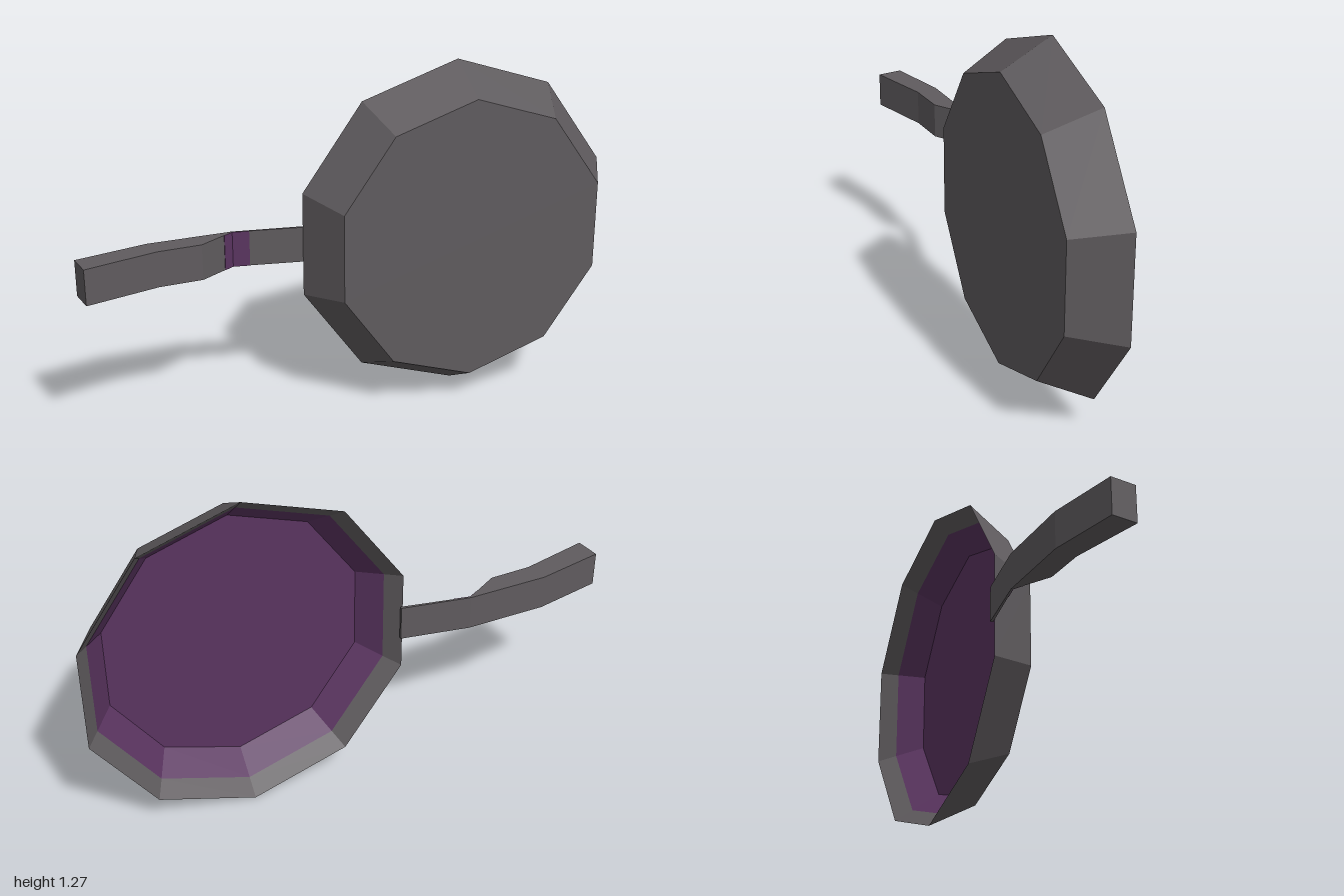
import * as THREE from 'three';

const grey = new THREE.MeshStandardMaterial({ color: 0x5f5b5e });
grey.name = 'dark iron';
const purple = new THREE.MeshStandardMaterial({ color: 0x5a3460 });
purple.name = 'purple coating';

// Faceted mesh: split every face so it gets its own flat normal
function facet(name, geometry, material) {
  const g = geometry.index ? geometry.toNonIndexed() : geometry;
  g.computeVertexNormals();
  const mesh = new THREE.Mesh(g, material);
  mesh.name = name;
  return mesh;
}

// Ten-sided turned part around the z axis, from [radius, z] pairs
function turned(name, profile, material) {
  const g = new THREE.LatheGeometry(profile.map(([r, z]) => new THREE.Vector2(r, z)), 10);
  g.rotateX(Math.PI / 2).scale(0.977, 1, 1);
  return facet(name, g, material);
}

// Outline in [x, z], extruded upwards from y0 to y1
function slab(name, outline, y0, y1, material) {
  const shape = new THREE.Shape(outline.map(([x, z]) => new THREE.Vector2(x, -z)));
  const g = new THREE.ExtrudeGeometry(shape, { depth: y1 - y0, bevelEnabled: false });
  g.rotateX(-Math.PI / 2).translate(0, y0, 0);
  return facet(name, g, material);
}

export function createModel() {
  const model = new THREE.Group();
  model.name = 'fryingPan';

  // Dish: sharp rim, grey outside and upper inner wall, thick floor coated inside
  const dish = new THREE.Group();
  dish.name = 'dish';
  dish.position.set(0.41, 0.635, 0);
  dish.add(
    turned('outerShell', [[0.583, -0.006], [0.635, -0.066], [0.534, 0.117], [0, 0.117]], grey),
    turned('innerCoating', [[0, 0.085], [0.505, 0.085], [0.583, -0.006]], purple),
  );
  model.add(dish);

  // Handle: thin neck widening into a bent grip
  model.add(slab('handle', [
    [-1, -0.047], [-0.985, 0.048], [-0.72, -0.023], [-0.56, -0.032], [-0.43, -0.111],
    [-0.17, -0.067], [-0.17, -0.078], [-0.43, -0.117], [-0.74, -0.107],
  ], 0.569, 0.702, grey));

  // Painted band following the inner bend of the handle
  model.add(slab('handleBand', [
    [-0.465, -0.0897], [-0.464, -0.0885], [-0.43, -0.109], [-0.37, -0.0988], [-0.37, -0.1008], [-0.43, -0.111],
  ], 0.569, 0.702, purple));

  return model;
}
